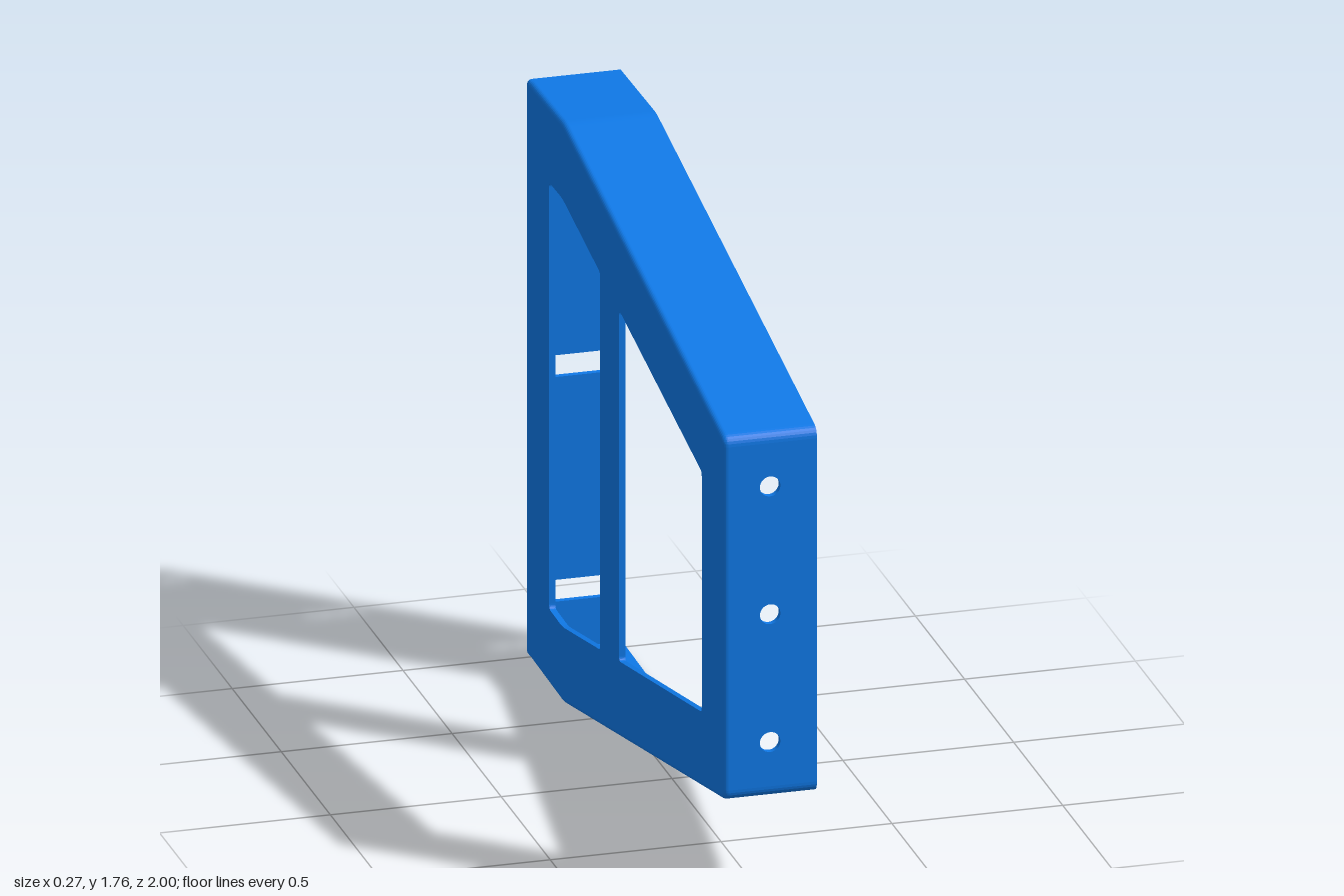
import * as THREE from 'three';

const W = 0.137;      // half width in x
const T = 0.018;      // sheet thickness
const R = 0.016;      // outer edge rounding
const F = 0.009;      // inner fillet

const material = new THREE.MeshStandardMaterial({ color: 0x0f78e6 });

// Rounds the corners of a polyline; each point is [x, y, cut], cut 0 stays sharp
function roundCorners(points, closed) {
  const v = points.map(p => new THREE.Vector2(p[0], p[1]));
  const n = v.length, out = [];
  points.forEach((p, i) => {
    if (!p[2] || (!closed && (i === 0 || i === n - 1))) { out.push(v[i]); return; }
    const toward = q => v[i].clone().add(q.clone().sub(v[i]).setLength(p[2]));
    out.push(...new THREE.QuadraticBezierCurve(
      toward(v[(i + n - 1) % n]), v[i], toward(v[(i + 1) % n])).getPoints(6));
  });
  return out;
}

// Moves an open polyline to its left by a distance, with mitred corners
function inset(path, d) {
  const normal = i => {
    const e = path[i + 1].clone().sub(path[i]).normalize();
    return new THREE.Vector2(-e.y, e.x);
  };
  return path.map((p, i) => {
    const a = normal(Math.max(i - 1, 0)), b = normal(Math.min(i, path.length - 2));
    return p.clone().addScaledVector(a.clone().add(b), d / (1 + a.dot(b)));
  });
}

function extrude(shape, depth) {
  return new THREE.ExtrudeGeometry(shape, { depth, bevelEnabled: false, curveSegments: 24 });
}

// Side outline as (u, y) with u = -z: top back, round the front, to bottom back
const outline = roundCorners([
  [0.99, 1.75, 0], [0.637, 1.757, 0.02], [-1, 1.426, 0.028],
  [-1, 0.331, 0.028], [0.637, 0, 0.02], [0.99, 0.007, 0]], false);
const isFront = i => outline[i].distanceTo(outline[i + 1]) > 0.5 &&
  Math.abs(outline[i].x - outline[i + 1].x) < 0.01;

// Wall section as [x, inset]: outside, rounded edge, inner fillet, inside, rim
function wallSection() {
  const s = [[W, 0]];
  for (let k = 0; k <= 6; k++) {
    const a = k / 6 * Math.PI / 2;
    s.push([-W + R * (1 - Math.sin(a)), R * (1 - Math.cos(a))]);
  }
  for (let k = 0; k <= 5; k++) {
    const a = k / 5 * Math.PI / 2;
    s.push([-W + T + F * (1 - Math.cos(a)), T + F * (1 - Math.sin(a))]);
  }
  s.push([W, T], [W, 0]);
  return s;
}

// Sweeps the wall section along the outline, leaving the flat front to its own panel
function wallGeometry() {
  const section = wallSection();
  const rows = section.map(([x, d]) => inset(outline, d).map(p => new THREE.Vector3(x, p.y, -p.x)));
  const last = section.length - 2, pos = [];
  for (let j = 0; j <= last; j++) {
    if (j === 7) continue;                       // closed by the side plate
    for (let i = 0; i < outline.length - 1; i++) {
      if (isFront(i) && (j === 0 || j >= last - 1)) continue;
      const a = rows[j][i], b = rows[j][i + 1], c = rows[j + 1][i + 1], d = rows[j + 1][i];
      for (const p of [a, d, c, a, c, b]) pos.push(p.x, p.y, p.z);
    }
  }
  const g = new THREE.BufferGeometry();
  g.setAttribute('position', new THREE.Float32BufferAttribute(pos, 3));
  g.computeVertexNormals();
  return g;
}

// Side plate with two windows
function plateGeometry() {
  const shape = new THREE.Shape(inset(outline, R));
  const c = 0.015;
  const windows = [
    [[-0.78, 0.515, c], [0.062, 0.347, c], [0.062, 1.41, c], [-0.78, 1.242, c]],
    [[0.255, 0.308, c], [0.64, 0.23, 0.03], [0.775, 0.233, c],
      [0.775, 1.524, c], [0.64, 1.527, 0.03], [0.255, 1.449, c]]];
  for (const w of windows) shape.holes.push(new THREE.Path(roundCorners(w, true)));
  return extrude(shape, T).rotateY(Math.PI / 2).translate(-W, 0, 0);
}

// Front panel with three round holes
function frontGeometry() {
  const i = outline.findIndex((p, k) => k < outline.length - 1 && isFront(k));
  const top = outline[i].y, bottom = outline[i + 1].y;
  const shape = new THREE.Shape(roundCorners(
    [[-W + R, bottom], [W, bottom], [W, top], [-W + R, top]], true));
  for (const k of [-1, 0, 1]) {
    shape.holes.push(new THREE.Path().absarc(0, 0.88 + k * 0.387, 0.03, 0, Math.PI * 2, true));
  }
  return extrude(shape, T).translate(0, 0, 1 - T);
}

// Back panel with three mounting slots
function backGeometry() {
  const shape = new THREE.Shape(roundCorners(
    [[-W, 0.007, R], [W, 0.007], [W, 1.75], [-W, 1.75, R]], true));
  for (const k of [-1, 0, 1]) {
    const y = 0.88 + k * 0.68, h = 0.033, w = 0.1, c = 0.015;
    shape.holes.push(new THREE.Path(roundCorners(
      [[-w, y - h, c], [w, y - h, c], [w, y + h, c], [-w, y + h, c]], true)));
  }
  return extrude(shape, T).translate(0, 0, -1);
}

export function createModel() {
  const group = new THREE.Group();
  group.name = 'bracketFrame';
  const parts = {
    perimeterWall: wallGeometry(),
    sidePlate: plateGeometry(),
    frontPanel: frontGeometry(),
    backPanel: backGeometry()
  };
  for (const [name, geometry] of Object.entries(parts)) {
    const mesh = new THREE.Mesh(geometry, material);
    mesh.name = name;
    group.add(mesh);
  }
  return group;
}
